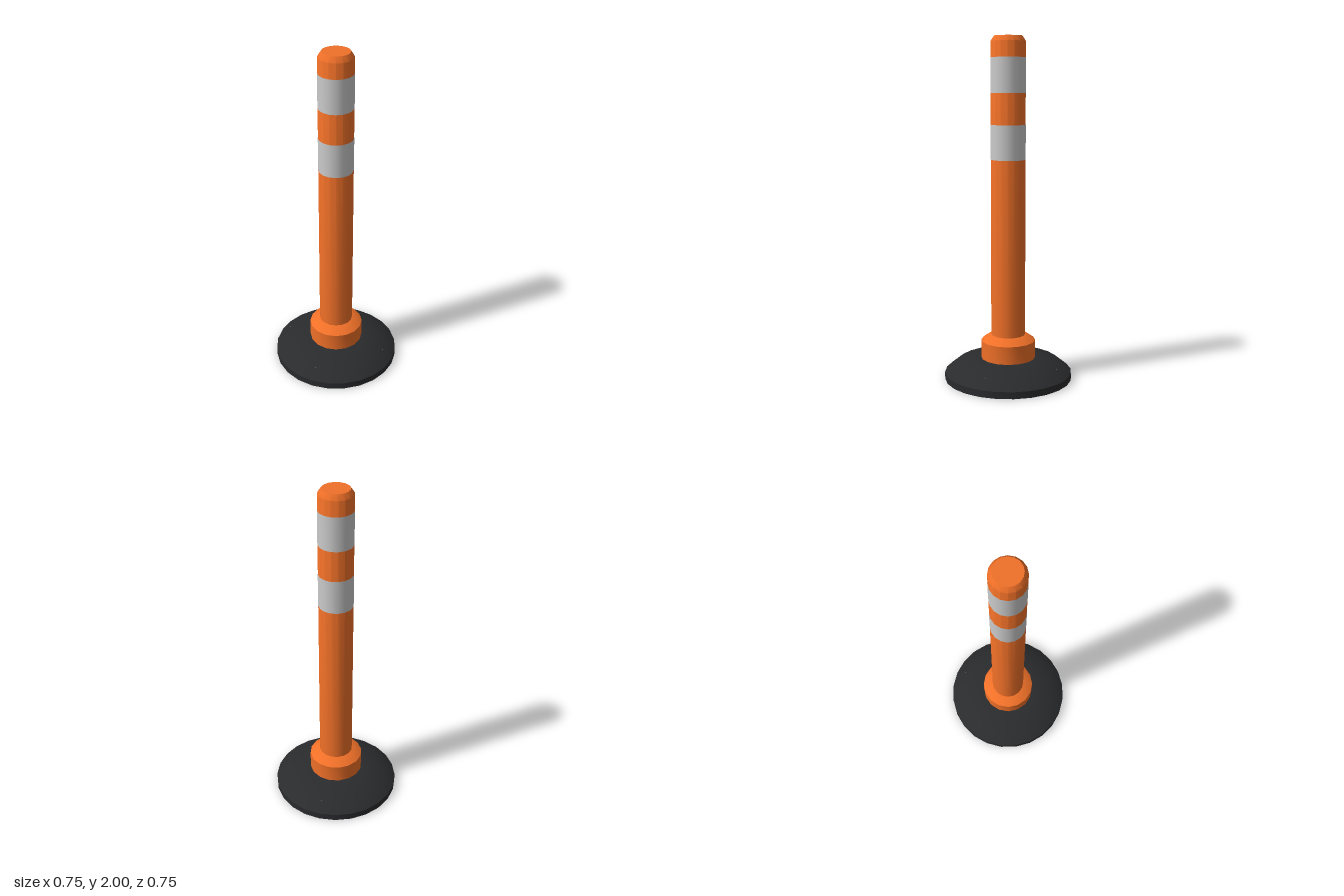
import * as THREE from 'three';
import { toCreasedNormals } from 'three/addons/utils/BufferGeometryUtils.js';

const orange = new THREE.MeshStandardMaterial({ color: 0xf07028 });
const rubber = new THREE.MeshStandardMaterial({ color: 0x2a2b2d });
const grey = new THREE.MeshStandardMaterial({ color: 0xcccccc });

export function createModel() {
  const model = new THREE.Group();
  model.name = 'bollard';

  const add = (name, geometry, material) => {
    const mesh = new THREE.Mesh(geometry, material);
    mesh.name = name;
    model.add(mesh);
    return mesh;
  };

  // Turned part: [radius, height] profile from bottom to top, sharp edges kept
  const turned = (name, profile, sides, material) => {
    const points = profile.map(([r, y]) => new THREE.Vector2(r, y));
    return add(name, toCreasedNormals(new THREE.LatheGeometry(points, sides), 0.65), material);
  };

  // Weighted foot with a shallow domed top
  turned('base', [[0, 0], [0.375, 0], [0.375, 0.04], [0.3, 0.1], [0.18, 0.125], [0, 0.125]], 24, rubber);

  // Collar holding the post
  turned('collar', [[0, 0.12], [0.16, 0.12], [0.16, 0.23], [0.11, 0.265], [0, 0.265]], 16, orange);

  // Post with a chamfered top
  turned('post', [[0, 0.2], [0.1, 0.2], [0.1, 1.97], [0.08, 2], [0, 2]], 16, orange);

  // Reflective bands wrapped around the post
  for (const y of [1.4, 1.78]) {
    const band = add('reflectiveBand', new THREE.CylinderGeometry(0.1008, 0.1008, 0.2, 16, 1, true), grey);
    band.material.side = THREE.DoubleSide;
    band.position.y = y;
  }

  // Anchor bolts sunk into the foot, only their outer rims showing
  for (const x of [-0.212, 0.212]) {
    for (const z of [-0.205, 0.205]) {
      const bolt = add('anchorBolt', new THREE.CylinderGeometry(0.02, 0.02, 0.04, 8), grey);
      bolt.position.set(x, 0.069, z);
    }
  }

  return model;
}
